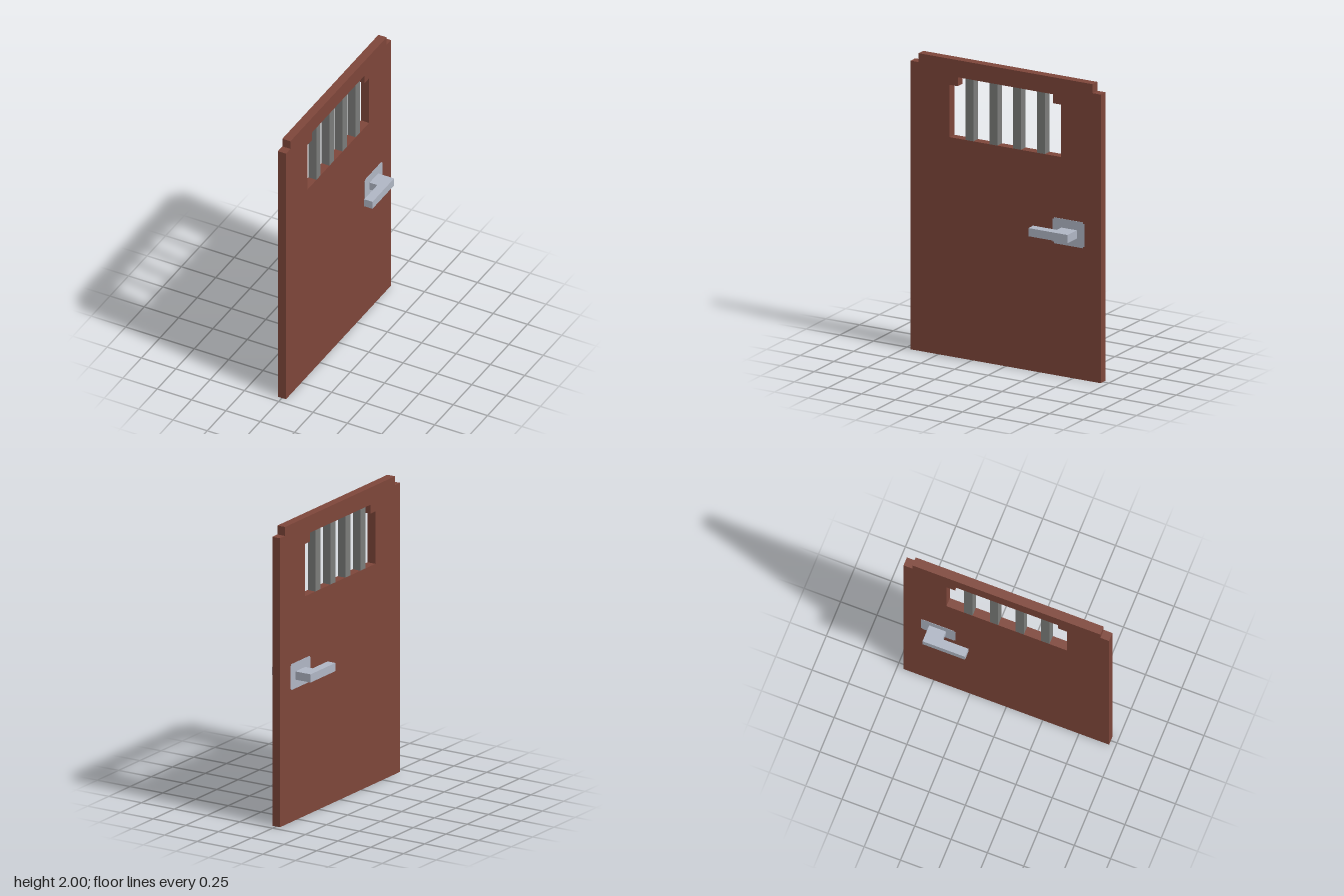
import * as THREE from 'three';

const brown = new THREE.MeshStandardMaterial({ name: 'brown panel', color: 0x7e463a });
const iron = new THREE.MeshStandardMaterial({ name: 'grey iron', color: 0x7b7c7a });
const steel = new THREE.MeshStandardMaterial({ name: 'pale steel', color: 0xb0b6c4 });

const HALF = 0.0295; // half the door thickness

const points = (list) => list.map(([x, y]) => new THREE.Vector2(x, y));

// Rectangle with square notches cut from its top corners, and optionally its bottom ones
function notched(u0, u1, v0, v1, n, bottom = false) {
  const foot = bottom
    ? [[u0, v0 + n], [u0 + n, v0 + n], [u0 + n, v0], [u1 - n, v0], [u1 - n, v0 + n], [u1, v0 + n]]
    : [[u0, v0], [u1, v0]];
  return points([...foot, [u1, v1 - n], [u1 - n, v1 - n], [u1 - n, v1],
    [u0 + n, v1], [u0 + n, v1 - n], [u0, v1 - n]]);
}

function addMesh(group, name, geometry, material) {
  const mesh = new THREE.Mesh(geometry, material);
  mesh.name = name;
  group.add(mesh);
  return mesh;
}

// Side profile (u = -z, v = y) extruded through x, from x0 to x0 + depth
function sideExtrude(shape, x0, depth) {
  return new THREE.ExtrudeGeometry(shape, { depth, bevelEnabled: false })
    .translate(0, 0, x0).rotateY(Math.PI / 2);
}

export function createModel() {
  const door = new THREE.Group();
  door.name = 'door';

  // Door leaf with a stepped top and a stepped window opening
  const leaf = new THREE.Shape(notched(-0.707, 0.707, 0, 2, 0.06));
  leaf.holes.push(new THREE.Path(notched(-0.416, 0.412, 1.473, 1.885, 0.06)));
  addMesh(door, 'doorLeaf', sideExtrude(leaf, -HALF, HALF * 2), brown);

  // Window bars
  for (let i = 0; i < 4; i++) {
    const bar = addMesh(door, 'windowBar', new THREE.BoxGeometry(HALF * 2 - 0.001, 0.412, 0.058), iron);
    bar.position.set(0, 1.679, 0.268 - i * 0.1765);
  }

  // Handle and thin backing plate on both faces
  for (const side of [1, -1]) {
    const handle = new THREE.Group();
    handle.name = side > 0 ? 'leftHandle' : 'rightHandle';

    const plate = new THREE.Shape(notched(0.35, 0.586, 0.886, 1.06, 0.01, true));
    addMesh(handle, 'handlePlate', sideExtrude(plate, side > 0 ? HALF : -HALF - 0.002, 0.002), steel);

    // L-shaped lever drawn from above (v = -z) and extruded upward
    const lever = new THREE.Shape(points([[HALF, 0.53], [0.148, 0.53], [0.148, 0.238],
      [0.088, 0.238], [0.088, 0.415], [HALF, 0.415]].map(([x, v]) => [x * side, v])));
    const leverGeometry = new THREE.ExtrudeGeometry(lever, { depth: 0.055, bevelEnabled: false })
      .rotateX(-Math.PI / 2).translate(0, 0.945, 0);
    addMesh(handle, 'handleLever', leverGeometry, steel);
    door.add(handle);
  }
  return door;
}
